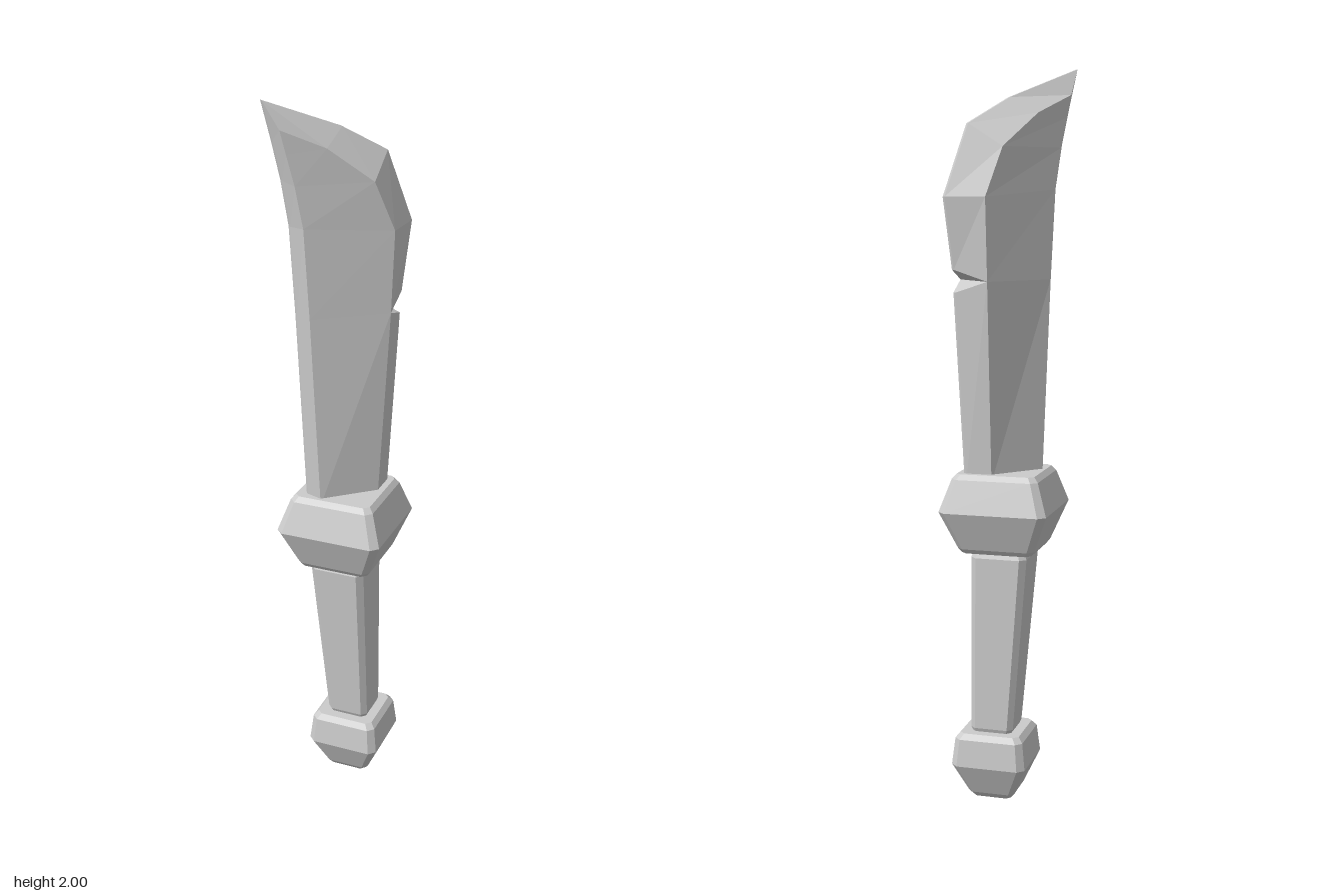
import * as THREE from 'three';

// Skin a stack of rings (each counter-clockwise seen from above) and cap both ends.
function loft(name, rings) {
  const pos = [];
  const tri = (...pts) => pts.forEach((p) => pos.push(...p));
  const n = rings[0].length;
  for (let i = 0; i < rings.length - 1; i++) {
    for (let j = 0; j < n; j++) {
      const k = (j + 1) % n;
      const [a, b, c, d] = [rings[i][j], rings[i][k], rings[i + 1][k], rings[i + 1][j]];
      tri(a, b, c);
      tri(a, c, d);
    }
  }
  const bottom = rings[0], top = rings[rings.length - 1];
  for (let j = 1; j < n - 1; j++) {
    tri(bottom[0], bottom[j + 1], bottom[j]);
    tri(top[0], top[j], top[j + 1]);
  }
  const geometry = new THREE.BufferGeometry();
  geometry.setAttribute('position', new THREE.Float32BufferAttribute(pos, 3));
  geometry.computeVertexNormals();
  const material = new THREE.MeshStandardMaterial({ color: 0xcccccc, flatShading: true });
  const mesh = new THREE.Mesh(geometry, material);
  mesh.name = name;
  return mesh;
}

// Diamond ring with trimmed corners: height, corner radius, half trim, centre x.
const diamond = ([y, r, c, cx]) => [
  [r, c], [r, -c], [c, -r], [-c, -r], [-r, -c], [-r, c], [-c, r], [c, r],
].map(([x, z]) => [cx + x, y, z]);

// Blade section from spine, spine ridge, edge ridge and cutting edge, mirrored in z.
function bladeRing([spine, spineRidge, edgeRidge, edge]) {
  const half = [edge, edgeRidge, spineRidge, spine];
  const back = half.map(([x, y, z]) => [x, y, -z]);
  return [...back, ...half.reverse()];
}

export function createModel() {
  const group = new THREE.Group();
  group.name = 'machete';

  // Pommel
  group.add(loft('pommel', [
    [0, 0.068, 0.008, 0.04],
    [0.015, 0.083, 0.01, 0.04],
    [0.1, 0.135, 0.013, 0.04],
    [0.175, 0.124, 0.012, 0.04],
    [0.19, 0.108, 0.01, 0.04],
  ].map(diamond)));

  // Grip, leaning slightly
  group.add(loft('grip', [
    [0.185, 0.068, 0.008, 0.041],
    [0.2, 0.075, 0.01, 0.04],
    [0.685, 0.099, 0.012, 0.013],
    [0.7, 0.092, 0.01, 0.013],
    [0.72, 0.092, 0.01, 0.013],
  ].map(diamond)));

  // Guard
  group.add(loft('guard', [
    [0.702, 0.128, 0.01, 0.013],
    [0.715, 0.14, 0.012, 0.013],
    [0.82, 0.198, 0.014, 0.013],
    [0.908, 0.158, 0.012, 0.013],
    [0.922, 0.143, 0.01, 0.013],
  ].map(diamond)));

  // Blade, with a notch cut into its edge; three sections share the notch height
  const t = 0.005;
  const notchInner = [[-0.127, 1.44, t], [-0.106, 1.44, 0.042], [0.108, 1.44, 0.075]];
  group.add(loft('blade', [
    [[-0.1, 0.9, t], [-0.08, 0.9, 0.045], [0.085, 0.9, 0.055], [0.135, 0.9, t]],
    [...notchInner, [0.166, 1.41, t]],
    [...notchInner, [0.108, 1.44, t]],
    [...notchInner, [0.17, 1.47, t]],
    [[-0.142, 1.68, t], [-0.12, 1.68, 0.04], [0.115, 1.66, 0.078], [0.196, 1.66, t]],
    [[-0.162, 1.8, t], [-0.14, 1.79, 0.036], [0.06, 1.79, 0.073], [0.125, 1.85, t]],
    [[-0.185, 1.9, t], [-0.16, 1.87, 0.032], [-0.06, 1.88, 0.052], [0, 1.92, t]],
    [[-0.21, 2, t], [-0.175, 1.93, 0.03], [-0.175, 1.93, 0.03], [-0.21, 2, t]],
  ].map(bladeRing)));

  return group;
}
